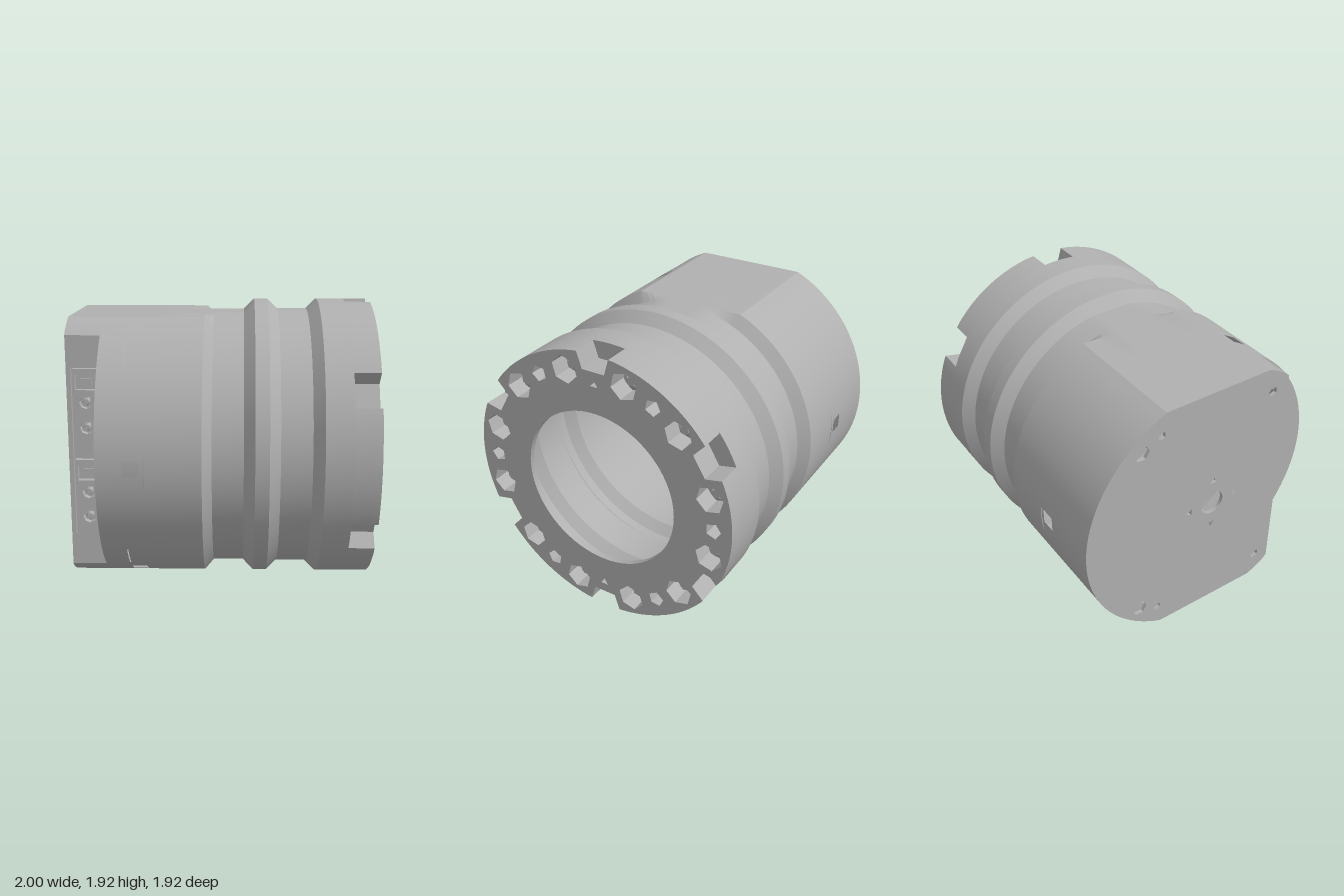
import * as THREE from 'three';
import { toCreasedNormals } from 'three/addons/utils/BufferGeometryUtils.js';

const R = 0.958, FLAT = 0.876, CUT = 0.55, INNER_CUT = 0.49;
const rad = THREE.MathUtils.degToRad;
const polar = (r, deg) => [r * Math.cos(rad(deg)), r * Math.sin(rad(deg))];

export function createModel() {
  const model = new THREE.Group();
  model.name = 'cylindricalHousing';
  const grey = new THREE.MeshStandardMaterial({ color: 0xb0b0b0, side: THREE.DoubleSide });
  grey.name = 'metalGrey';
  const assembly = new THREE.Group();
  assembly.name = 'housing';
  assembly.position.y = R;
  model.add(assembly);

  const add = (name, geometry, parent = assembly) => {
    const mesh = new THREE.Mesh(geometry, grey);
    mesh.name = name;
    parent.add(mesh);
    return mesh;
  };
  const polygon = (cx, cy, r, n, turn = 0) => {
    const points = [];
    for (let i = 0; i < n; i++) {
      const [x, y] = polar(r, turn + (i * 360) / n);
      points.push(new THREE.Vector2(cx + x, cy + y));
    }
    return new THREE.Path(points);
  };
  // Plate extruded along x, its outline drawn in (-z, y)
  const plate = (name, outline, holes, x0, x1) => {
    const shape = new THREE.Shape(outline);
    shape.holes.push(...holes);
    const g = new THREE.ExtrudeGeometry(shape, { depth: x1 - x0, bevelEnabled: false });
    g.rotateY(Math.PI / 2);
    g.translate(x0, 0, 0);
    return add(name, toCreasedNormals(g, 0.35));
  };

  // Hollow turned shell: outside profile forward, inside profile back
  const outer = [[0.83, -0.975], [R, -0.975], [R, -0.97], [R, -0.785], [R, -0.7701], [R, -0.77],
    [R, -0.608], [R, -0.6], [R, -0.5], [R, -0.474], [R, -0.466], [R, -0.11], [0.887, -0.05],
    [0.887, 0.15], [R, 0.22], [R, 0.31], [0.89, 0.38], [0.89, 0.58], [R, 0.65], [R, 0.83]];
  const inner = [[0.72, 0.83], [0.72, 0.81], [0.89, 0.8], [0.89, 0.67], [0.83, 0.6], [0.83, 0.36],
    [0.89, 0.3], [0.89, 0.23], [0.83, 0.16], [0.83, -0.74], [0.83, -0.7401], [0.83, -0.975]];
  const profile = [...outer, ...inner].map(([r, x]) => new THREE.Vector2(r, x));
  const shell = new THREE.LatheGeometry(profile, 120);
  shell.rotateZ(-Math.PI / 2);
  // Flats above and below, and a step cut into the front
  const pos = shell.attributes.position;
  for (let i = 0; i < pos.count; i++) {
    const isOuter = i % profile.length < outer.length;
    const x = pos.getX(i), y = pos.getY(i), z = pos.getZ(i);
    if (isOuter && x < 0.16) pos.setY(i, THREE.MathUtils.clamp(y, -FLAT, FLAT));
    if (x < (isOuter ? -0.7700001 : -0.74005)) pos.setZ(i, Math.min(z, isOuter ? CUT : INNER_CUT));
  }
  // Openings: connector window, six side notches and narrow slits
  const isOpening = (x, y, z) => {
    if (Math.hypot(y, z) < 0.9 && !(z > 0.545 && x < -0.77)) return false;
    if (z > 0.545 && x > -0.97 && x < -0.785 && Math.abs(y) < 0.56) return true;
    const a = THREE.MathUtils.radToDeg(Math.atan2(y, z));
    const off = Math.abs(a - Math.round(a / 60) * 60);
    if (x > -0.6 && x < -0.5 && off < 3.8) return true;
    if (x > -0.474 && x < -0.466 && Math.abs(y) < 0.12) return true;
    const steep = Math.asin(Math.min(1, Math.abs(y) / R)) * 180 / Math.PI;
    return x > -0.608 && x < -0.6 && steep > 37 && steep < 50;
  };
  const index = shell.index.array, kept = [];
  for (let i = 0; i < index.length; i += 3) {
    const t = [index[i], index[i + 1], index[i + 2]];
    const mid = (get) => t.reduce((s, v) => s + pos[get](v), 0) / 3;
    const isOuter = t.every((v) => v % profile.length < outer.length);
    if (!(isOuter && isOpening(mid('getX'), mid('getY'), mid('getZ')))) kept.push(...t);
  }
  shell.setIndex(kept);
  add('bodyShell', toCreasedNormals(shell, 0.35));

  // Closed end cap with centre bore and screw holes
  const capOutline = [];
  for (let a = 0; a < 360; a += 3) {
    const [u, v] = polar(R, a);
    capOutline.push(new THREE.Vector2(Math.max(u, -CUT), THREE.MathUtils.clamp(v, -FLAT, FLAT)));
  }
  const capHoles = [polygon(0, 0, 0.085, 20)];
  for (let k = 0; k < 4; k++) capHoles.push(polygon(...polar(0.18, k * 90), 0.028, 3, k * 90));
  for (const s of [-1, 1]) {
    capHoles.push(polygon(0.56, s * 0.65, 0.055, 6), polygon(0.42, s * 0.72, 0.03, 5),
      polygon(-0.43, s * 0.7, 0.035, 5));
  }
  plate('endCap', capOutline, capHoles, -1, -0.975);

  // Four-sided collar around the bore, inside
  const collar = new THREE.CylinderGeometry(0.12, 0.17, 0.06, 4, 1, true).toNonIndexed();
  collar.computeVertexNormals();
  collar.rotateZ(-Math.PI / 2);
  add('boreCollar', collar).position.x = -0.945;

  // Open-end flange with six rim notches, bolt pockets and small holes
  const flangeOutline = [];
  for (let k = 0; k < 6; k++) {
    const mid = 30 + k * 60, c = Math.cos(rad(mid)), s = Math.sin(rad(mid));
    for (const [r, w] of [[0.95, -0.115], [0.84, -0.08], [0.84, 0.08], [0.95, 0.115]]) {
      flangeOutline.push(new THREE.Vector2(r * c - w * s, r * s + w * c));
    }
    for (let a = 9; a <= 51; a += 3) flangeOutline.push(new THREE.Vector2(...polar(R, mid + a)));
  }
  const flangeHoles = () => {
    const holes = [];
    for (let k = 0; k < 12; k++) holes.push(polygon(...polar(0.83, 15 + k * 30), 0.095, 6, 15 + k * 30));
    for (let k = 0; k < 6; k++) holes.push(polygon(...polar(0.83, k * 60), 0.056, 5, k * 60));
    for (const a of [90, 270]) holes.push(polygon(...polar(0.757, a), 0.033, 3, 90));
    return holes;
  };
  plate('flangeRim', flangeOutline, [polygon(0, 0, 0.72, 72), ...flangeHoles()], 0.83, 0.96);
  plate('flangeFace', flangeOutline, [polygon(0, 0, 0.555, 72), ...flangeHoles()], 0.96, 1);

  // Faceted bolts seated in the pockets
  for (let k = 0; k < 12; k++) {
    const [u, v] = polar(0.83, 15 + k * 30);
    const bolt = new THREE.CylinderGeometry(0.03, 0.09, 0.06, 6).toNonIndexed();
    bolt.computeVertexNormals();
    bolt.rotateZ(-Math.PI / 2);
    const mesh = add('flangeBolt', bolt);
    mesh.position.set(0.9, v, -u);
    mesh.rotation.x = rad(15 + k * 30);
  }

  // Two connector modules recessed in the front window
  const rect = (x0, y0, x1, y1) => [[x0, y0], [x1, y0], [x1, y1], [x0, y1]].map((p) => new THREE.Vector2(...p));
  for (const [name, bottom] of [['upperConnector', 0.075], ['lowerConnector', -0.535]]) {
    const module = new THREE.Group();
    module.name = name;
    module.position.set(-0.878, bottom, INNER_CUT);
    assembly.add(module);
    const frame = new THREE.Shape(rect(-0.085, 0, 0.085, 0.48));
    frame.holes.push(new THREE.Path(rect(-0.07, 0.34, 0.07, 0.44)));
    for (const y of [0.09, 0.26]) frame.holes.push(polygon(0, y, 0.045, 8));
    add('connectorFrame', new THREE.ExtrudeGeometry(frame, { depth: 0.045, bevelEnabled: false }), module);
    for (const y of [0.09, 0.26]) {
      const pin = new THREE.CylinderGeometry(0.02, 0.03, 0.035, 5);
      pin.rotateX(Math.PI / 2);
      add('connectorPin', pin, module).position.set(0, y, 0.018);
    }
    add('socketKey', new THREE.BoxGeometry(0.07, 0.04, 0.02), module).position.set(0, 0.39, 0.01);
    add('connectorBack', new THREE.BoxGeometry(0.17, 0.42, 0.25), module).position.set(0, 0.24, -0.125);
  }
  return model;
}
